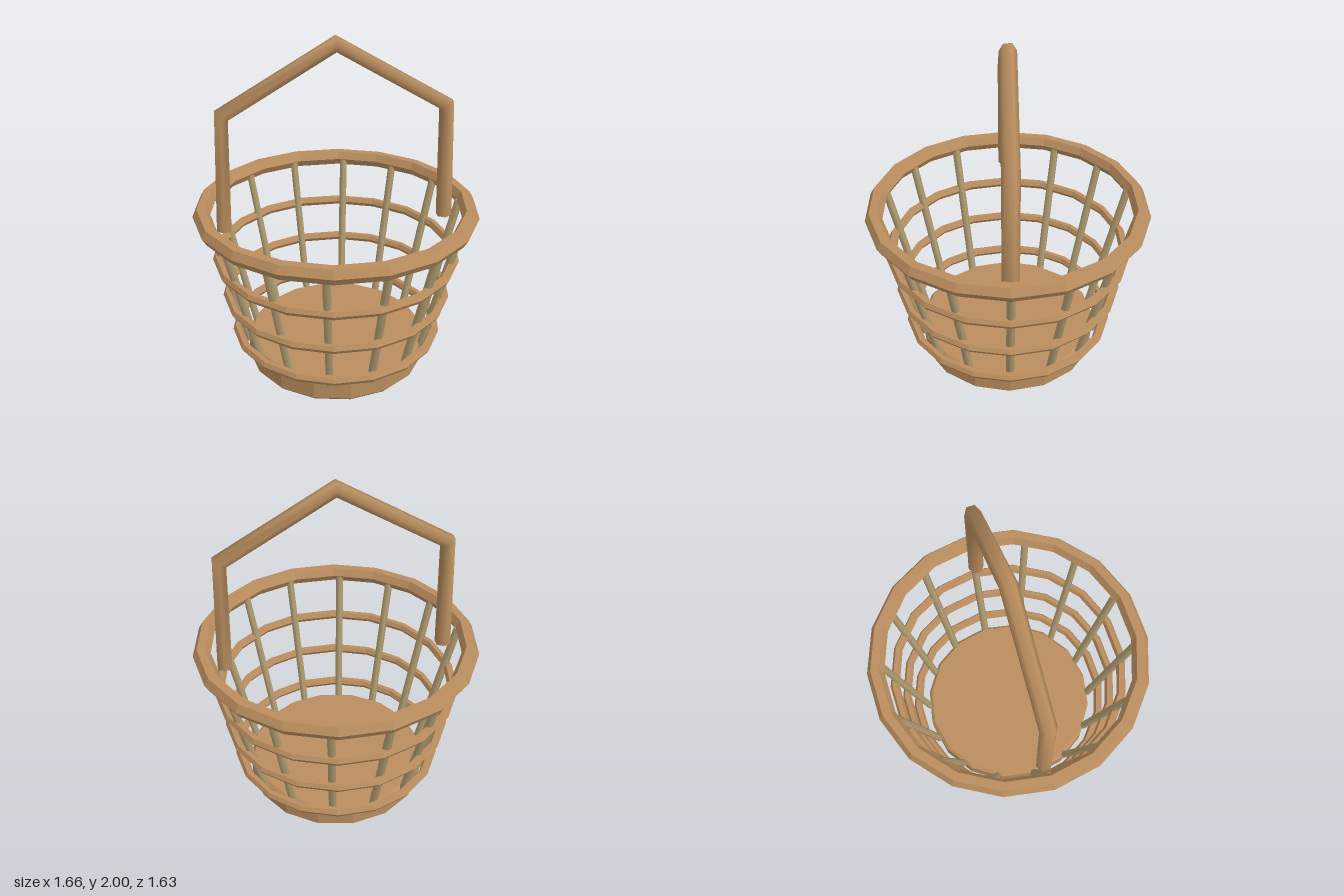
import * as THREE from 'three';

export function createModel() {
  const group = new THREE.Group();
  group.name = 'basket';

  const paint = (name, color, flat) => {
    const m = new THREE.MeshStandardMaterial({ color, flatShading: flat });
    m.name = name;
    return m;
  };
  const wood = paint('brownWood', 0xb98d5e, true);
  const smoothWood = paint('brownWoodSmooth', 0xb98d5e, false);
  const cane = paint('paleCane', 0xb09c70, false);

  const add = (name, geometry, material) => {
    const mesh = new THREE.Mesh(geometry, material);
    mesh.name = name;
    group.add(mesh);
    return mesh;
  };

  // Solid base with bevelled edges
  const profile = [[0, 0], [0.525, 0], [0.543, 0.02], [0.543, 0.135], [0.525, 0.153], [0, 0.153]];
  add('base', new THREE.LatheGeometry(profile.map(([r, y]) => new THREE.Vector2(r, y)), 16), wood);

  // Rim and three hoops: radius, tube radius, height
  const hoops = [
    ['rim', 0.78, 0.05, 0.99],
    ['upperHoop', 0.704, 0.028, 0.705],
    ['middleHoop', 0.658, 0.027, 0.456],
    ['lowerHoop', 0.611, 0.028, 0.206],
  ];
  for (const [name, radius, tube, y] of hoops) {
    add(name, new THREE.TorusGeometry(radius, tube, 6, 18).rotateX(Math.PI / 2), wood).position.y = y;
  }

  // Leaning stakes between base and rim
  const up = new THREE.Vector3(0, 1, 0);
  for (let i = 0; i < 14; i++) {
    const a = (i / 14) * Math.PI * 2;
    const at = (r, y) => new THREE.Vector3(r * Math.cos(a), y, r * Math.sin(a));
    const low = at(0.538, 0.12), high = at(0.745, 0.98);
    const dir = high.clone().sub(low);
    const stake = add('stake', new THREE.CylinderGeometry(0.024, 0.024, dir.length(), 6), cane);
    stake.position.copy(low).add(high).multiplyScalar(0.5);
    stake.quaternion.setFromUnitVectors(up, dir.normalize());
  }

  // Angular handle: one tube section at each bend
  const path = new THREE.CatmullRomCurve3(
    [[-0.655, 0.893], [-0.632, 1.586], [0, 1.957], [0.632, 1.586], [0.655, 0.893]]
      .map(([x, y]) => new THREE.Vector3(x, y, 0)), false, 'catmullrom', 0.5);
  path.getPointAt = (t, target) => path.getPoint(t, target);
  path.getTangentAt = (t, target) => path.getTangent(t, target);
  add('handle', new THREE.TubeGeometry(path, 4, 0.048, 6, false), smoothWood);

  // Closed ends of the handle
  for (const side of [-1, 1]) {
    const cap = new THREE.CircleGeometry(0.048, 6).rotateZ(Math.PI / 2).rotateX(Math.PI / 2);
    add('handleEnd', cap, smoothWood).position.set(side * 0.655, 0.893, 0);
  }

  return group;
}
